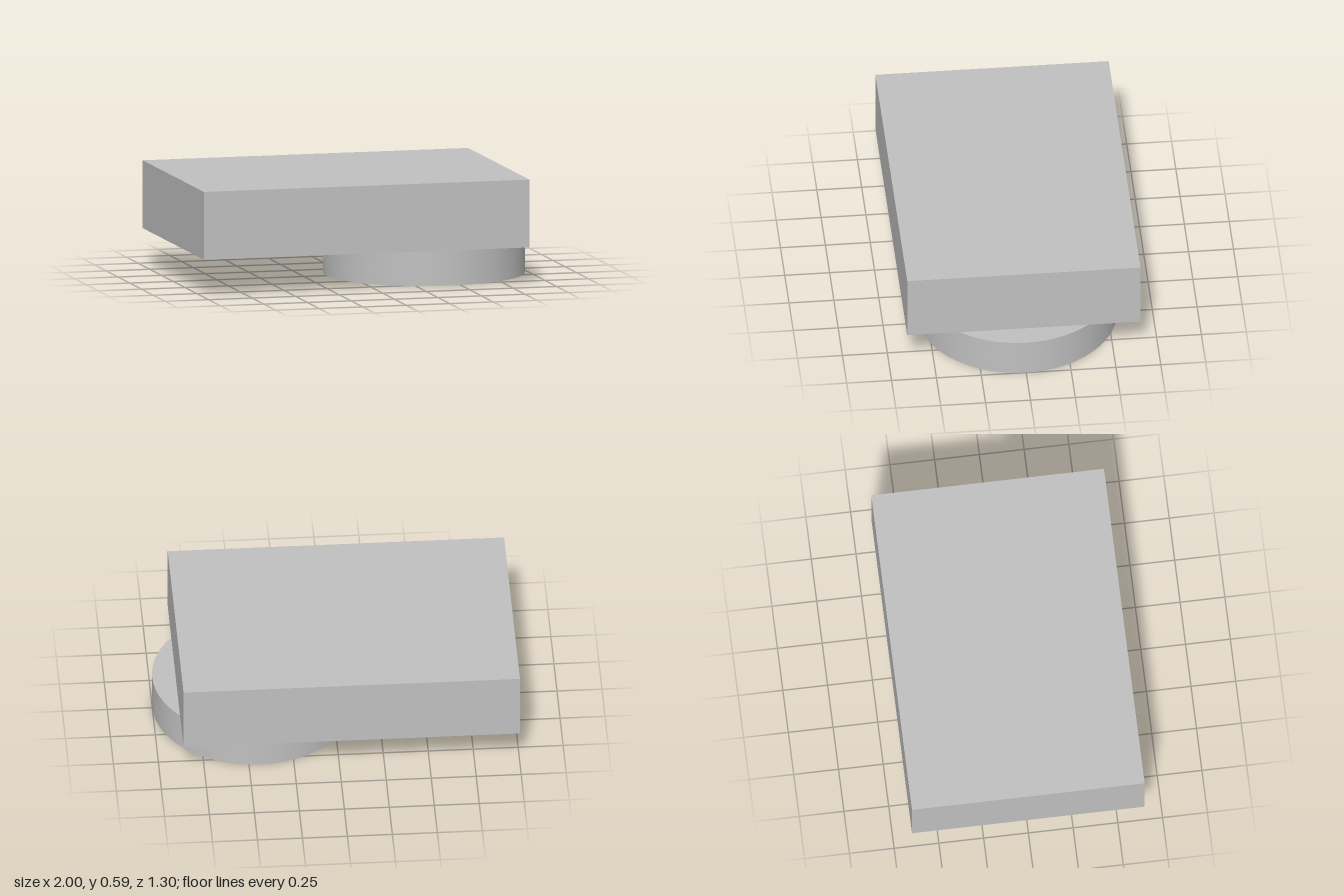
import * as THREE from 'three';
import { toCreasedNormals } from 'three/addons/utils/BufferGeometryUtils.js';

const DISC_X = 0.44, DISC_R = 0.56, DISC_H = 0.21, HOLE_DEPTH = 0.095;

function circle(PathType, x, y, r) {
  return new PathType().absarc(x, y, r, 0, Math.PI * 2, false);
}

export function createModel() {
  const group = new THREE.Group();
  const grey = new THREE.MeshStandardMaterial({ color: 0xc0c0c0 });
  grey.name = 'plainGrey';

  const add = (name, geometry, x, y, z) => {
    const mesh = new THREE.Mesh(geometry, grey);
    mesh.name = name;
    mesh.position.set(x, y, z);
    group.add(mesh);
  };

  // Rectangular body
  add('block', new THREE.BoxGeometry(1.87, 0.38, 1.3), -0.065, 0.4, 0);

  // Lower flange layer with a central bore and four screw holes on the axes
  const outline = circle(THREE.Shape, 0, 0, DISC_R);
  outline.holes.push(circle(THREE.Path, 0, 0, 0.195));
  for (let i = 0; i < 4; i++) {
    const a = i * Math.PI / 2;
    outline.holes.push(circle(THREE.Path, Math.cos(a) * 0.343, Math.sin(a) * 0.343, 0.038));
  }
  const lower = new THREE.ExtrudeGeometry(outline, {
    depth: HOLE_DEPTH, bevelEnabled: false, curveSegments: 64,
  });
  lower.rotateX(-Math.PI / 2);
  add('flangeLower', toCreasedNormals(lower, Math.PI / 6), DISC_X, 0, 0);

  // Solid upper flange layer that closes the holes
  const upperH = DISC_H - HOLE_DEPTH;
  add('flangeUpper', new THREE.CylinderGeometry(DISC_R, DISC_R, upperH, 64),
    DISC_X, HOLE_DEPTH + upperH / 2, 0);

  return group;
}
